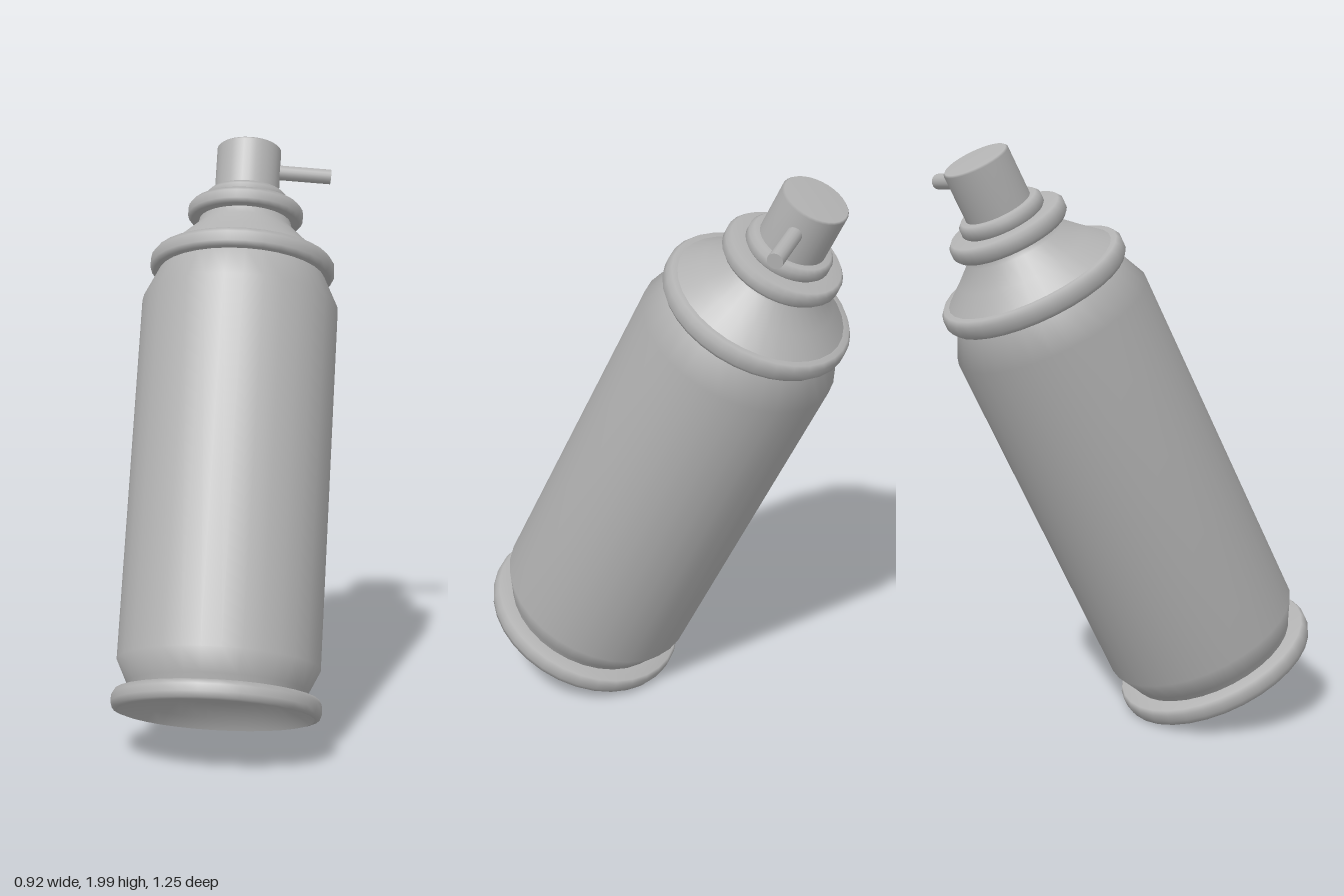
import * as THREE from 'three';

const SIDES = 32;

export function createModel() {
  const root = new THREE.Group();
  root.name = 'sprayCan';
  const grey = new THREE.MeshStandardMaterial({ color: 0xb2b2b2 });
  grey.name = 'plain grey';

  // The can leans along this axis, starting from the centre of its base
  const base = new THREE.Vector3(-0.12, 0.155, 0.31);
  const axis = new THREE.Vector3(0.15, 0.8975, -0.415).normalize();
  const can = new THREE.Group();
  can.name = 'can';
  can.position.copy(base);
  can.quaternion.setFromUnitVectors(new THREE.Vector3(0, 1, 0), axis);
  root.add(can);

  // Turned part from [radius, height] pairs, listed bottom to top
  function turned(name, profile) {
    const points = profile.map(([r, h]) => new THREE.Vector2(r, h));
    const mesh = new THREE.Mesh(new THREE.LatheGeometry(points, SIDES), grey);
    mesh.name = name;
    can.add(mesh);
  }

  // Rounded ring with inner radius, outer radius, bottom and top
  function ring(name, inner, outer, y0, y1) {
    const h = y1 - y0;
    turned(name, [
      [inner, y0], [outer - 0.012, y0], [outer, y0 + h * 0.25],
      [outer, y0 + h * 0.75], [outer - 0.012, y1], [inner, y1],
    ]);
  }

  // Hollowed underside and base rim
  turned('underside', [[0, 0.1], [0.12, 0.092], [0.22, 0.068], [0.29, 0.03], [0.325, -0.005]]);
  turned('baseRim', [[0.325, -0.005], [0.341, 0], [0.347, 0.018], [0.347, 0.042], [0.338, 0.058], [0.28, 0.062]]);

  // Body with tapered ends
  turned('body', [[0.285, 0.05], [0.3, 0.085], [0.337, 0.162], [0.337, 1.412], [0.285, 1.525]]);

  // Shoulder and the collars of the valve
  ring('shoulderRim', 0.27, 0.318, 1.52, 1.585);
  turned('shoulder', [[0.29, 1.582], [0.225, 1.64], [0.165, 1.698], [0.158, 1.73]]);
  ring('valveCollar', 0.12, 0.2, 1.722, 1.78);
  ring('upperCollar', 0.09, 0.143, 1.775, 1.828);

  // Push button
  turned('button', [[0.112, 1.81], [0.112, 1.994], [0.106, 2], [0, 2]]);

  // Spray tube sticking out of the button
  const from = base.clone().addScaledVector(axis, 1.919);
  const to = new THREE.Vector3(0.453, 1.853, -0.437);
  const along = to.clone().sub(from);
  const tube = new THREE.Mesh(new THREE.CylinderGeometry(0.026, 0.026, along.length(), 16), grey);
  tube.name = 'sprayTube';
  tube.position.copy(from).add(to).multiplyScalar(0.5);
  tube.quaternion.setFromUnitVectors(new THREE.Vector3(0, 1, 0), along.normalize());
  root.add(tube);

  return root;
}
